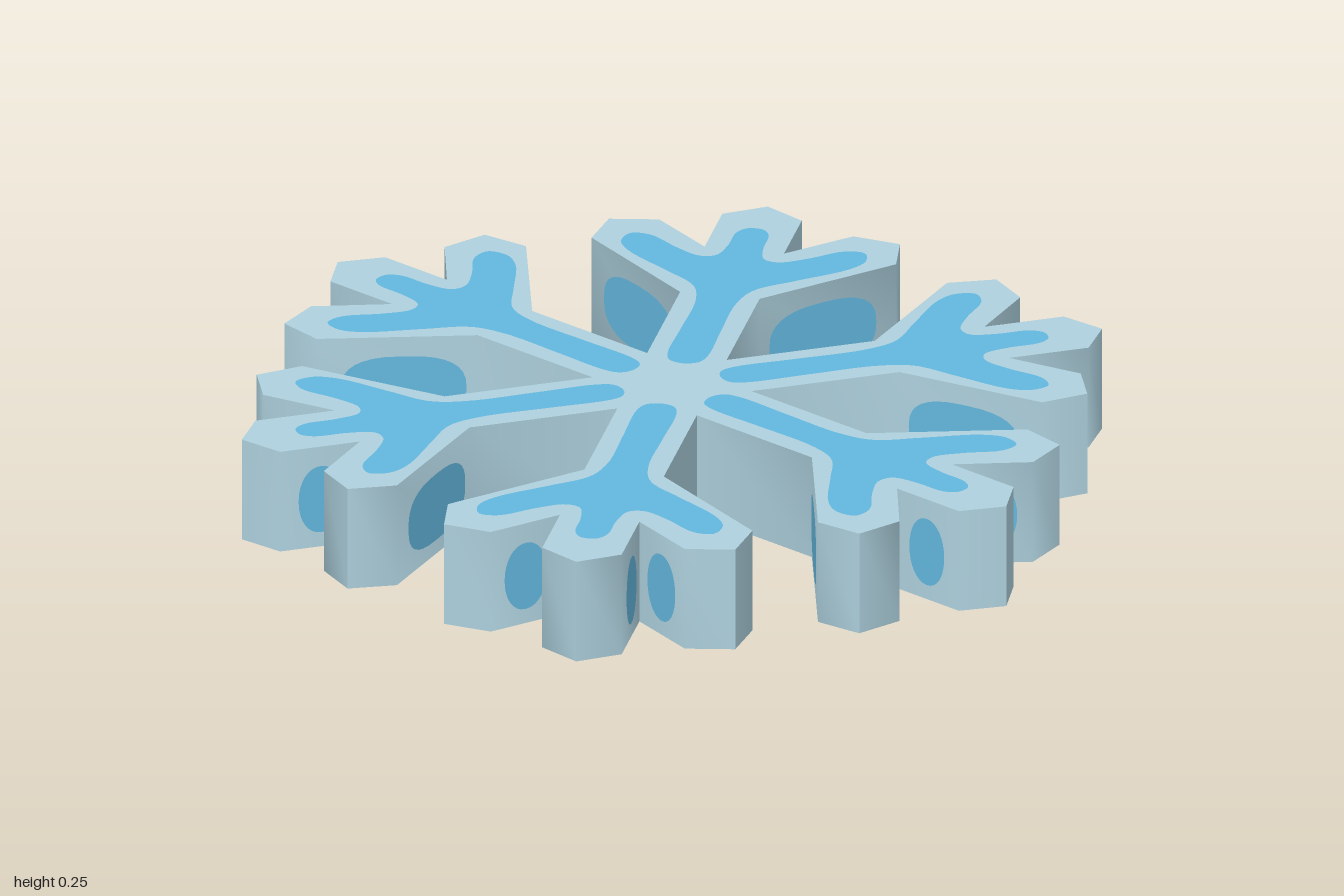
import * as THREE from 'three';
import { toCreasedNormals } from 'three/addons/utils/BufferGeometryUtils.js';

const HEIGHT = 0.245, SKIN = 0.002;
const ice = new THREE.MeshStandardMaterial({ color: 0xadd0dd });
ice.name = 'pale ice';
const blue = new THREE.MeshStandardMaterial({ color: 0x63b7de });
blue.name = 'ice blue';

// Right half of one arm, as [sideways, outwards], from the hub to the tip
const HALF_ARM = [[0.09, 0.156], [0.09, 0.5], [0.345, 0.75], [0.33, 0.86], [0.22, 0.88], [0.09, 0.755], [0.09, 0.94], [0, 1]];
// Right half of the painted inlay on an arm
const HALF_INLAY = [[0, 0.113], [0.032, 0.125], [0.045, 0.16], [0.045, 0.3], [0.046, 0.46], [0.07, 0.54], [0.15, 0.61],
  [0.25, 0.695], [0.277, 0.745], [0.265, 0.79], [0.22, 0.79], [0.15, 0.735], [0.09, 0.7], [0.055, 0.71],
  [0.04, 0.77], [0.037, 0.84], [0.02, 0.868], [0, 0.873]];
// Painted wall ovals: wall index in HALF_ARM, place along it, half length, corner power
const OVALS = [[1, 0.46, 0.14, 0.75], [4, 0.5, 0.055, 0.95], [5, 0.49, 0.052, 0.95]];

// Mirror a half outline into a full one, leaving out doubled points on the axis
function mirrored(half) {
  const other = half.filter(p => p[0] > 0).reverse().map(([x, y]) => [-x, y]);
  return [...half, ...other];
}

function turned([x, y], angle) {
  const c = Math.cos(angle), s = Math.sin(angle);
  return new THREE.Vector2(x * c - y * s, x * s + y * c);
}

function addMesh(parent, name, geometry, material) {
  const mesh = new THREE.Mesh(geometry, material);
  mesh.name = name;
  parent.add(mesh);
  return mesh;
}

function ovalGeometry(halfLength, power) {
  const points = [];
  for (let i = 0; i < 32; i++) {
    const a = i / 32 * Math.PI * 2, c = Math.cos(a), s = Math.sin(a);
    points.push(new THREE.Vector2(
      Math.sign(c) * Math.abs(c) ** power * halfLength,
      Math.sign(s) * Math.abs(s) ** power * 0.08));
  }
  return new THREE.ShapeGeometry(new THREE.Shape(points));
}

export function createModel() {
  const model = new THREE.Group();
  model.name = 'snowflake';

  // Solid six-armed body
  const outline = [];
  for (let i = 0; i < 6; i++) {
    // neighbouring arms share the valley point, so drop the last one
    for (const p of mirrored(HALF_ARM).slice(0, -1)) outline.push(turned(p, i * Math.PI / 3));
  }
  const body = new THREE.ExtrudeGeometry(new THREE.Shape(outline), { depth: HEIGHT - 2 * SKIN, bevelEnabled: false });
  body.rotateX(-Math.PI / 2).translate(0, SKIN, 0);
  addMesh(model, 'body', toCreasedNormals(body, Math.PI / 3), ice);

  // Rounded inlay shape, used above and below
  const curve = new THREE.CatmullRomCurve3(
    mirrored(HALF_INLAY).map(([x, y]) => new THREE.Vector3(x, y, 0)), true);
  const inlayShape = new THREE.Shape(curve.getPoints(140).slice(0, -1).map(p => new THREE.Vector2(p.x, p.y)));
  const topInlay = new THREE.ShapeGeometry(inlayShape).rotateX(-Math.PI / 2).translate(0, HEIGHT, 0);
  const bottomInlay = new THREE.ShapeGeometry(inlayShape).rotateX(Math.PI / 2);
  const ovals = OVALS.map(([, , length, power]) => ovalGeometry(length, power));

  for (let i = 0; i < 6; i++) {
    const arm = new THREE.Group();
    arm.name = 'armPaint' + (i + 1);
    arm.rotation.y = i * Math.PI / 3;
    model.add(arm);
    addMesh(arm, 'topInlay', topInlay, blue);
    addMesh(arm, 'bottomInlay', bottomInlay, blue);

    // Ovals on both sides of the arm, just proud of the walls
    OVALS.forEach(([wall, place], k) => {
      const [ax, ay] = HALF_ARM[wall], [bx, by] = HALF_ARM[wall + 1];
      const dx = bx - ax, dy = by - ay, length = Math.hypot(dx, dy);
      const nx = dy / length, ny = -dx / length;
      for (const side of [1, -1]) {
        const oval = addMesh(arm, 'wallOval', ovals[k], blue);
        oval.position.set(side * (ax + dx * place + nx * SKIN), 0.117, -(ay + dy * place + ny * SKIN));
        oval.rotation.y = Math.atan2(side * nx, -ny);
      }
    });
  }
  return model;
}
